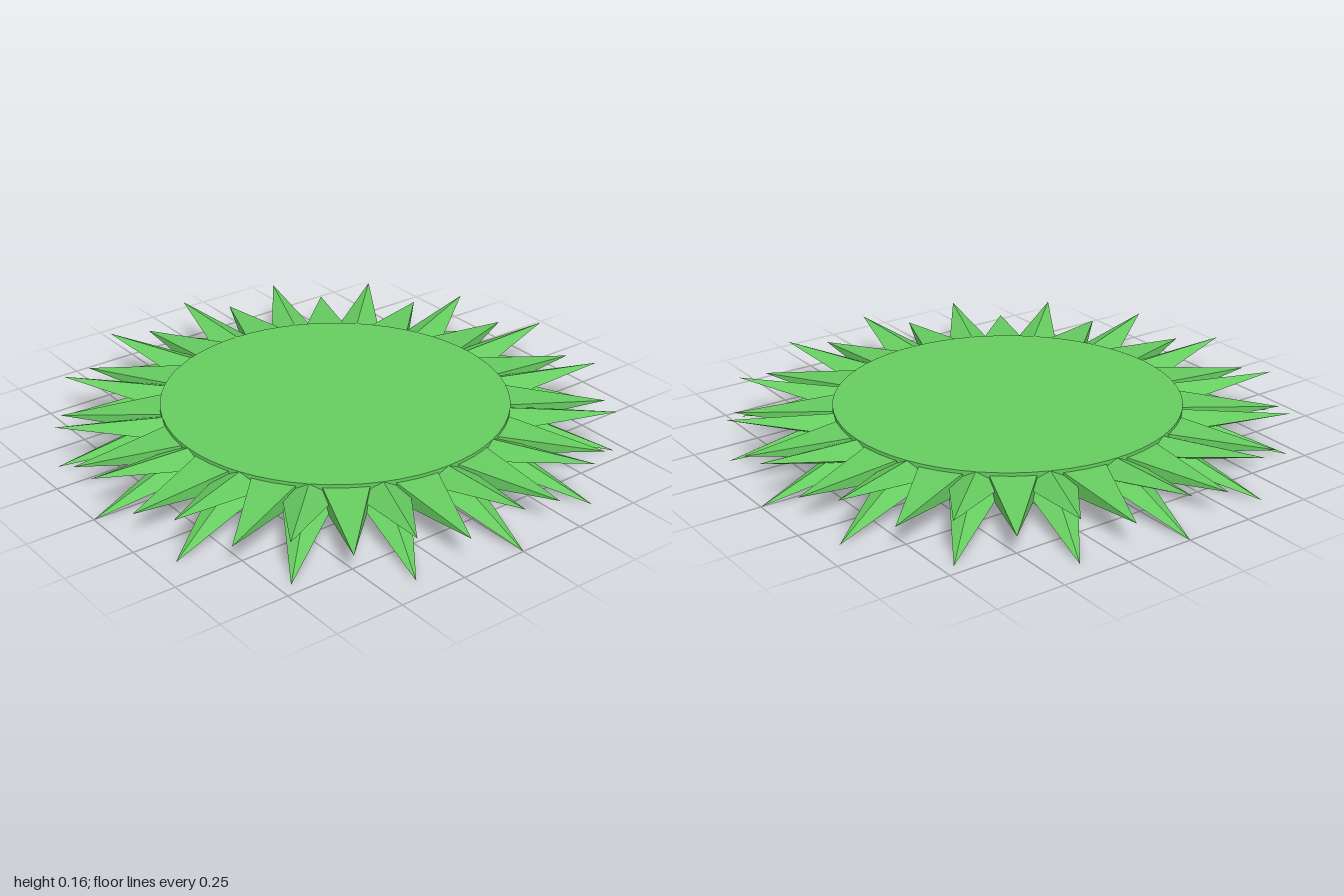
import * as THREE from 'three';

const COUNT = 16;      // spikes per ring
const DISC_R = 0.625;
const MID_Y = 0.1;     // centre height of the disc

// Four-sided spike along +z: base half-size w x h at z = r0, tip at (tipY, r1)
function spikeGeometry(w, h, r0, r1, tipY, flatTop) {
  const length = r1 - r0;
  const g = new THREE.ConeGeometry(1, length, 4, 1);
  if (flatTop) g.rotateY(Math.PI / 4).scale(Math.SQRT2, 1, Math.SQRT2);
  g.rotateX(Math.PI / 2).scale(w, h, 1).translate(0, MID_Y, r0 + length / 2);
  // shear so that the tip rises or drops
  const p = g.attributes.position;
  for (let i = 0; i < p.count; i++) {
    const t = (p.getZ(i) - r0) / length;
    p.setY(i, p.getY(i) + t * (tipY - MID_Y));
  }
  g.computeVertexNormals();
  return g;
}

export function createModel() {
  const model = new THREE.Group();
  model.name = 'spikedDisc';
  const color = 0x66cc60;
  const smooth = new THREE.MeshStandardMaterial({ color });
  const faceted = new THREE.MeshStandardMaterial({ color, flatShading: true });

  // Round central disc
  const disc = new THREE.Mesh(new THREE.CylinderGeometry(DISC_R, DISC_R, 0.092, 64), smooth);
  disc.name = 'disc';
  disc.position.y = MID_Y;
  model.add(disc);

  // Rings of spikes: raised, drooping, and level ones in the gaps
  const rings = [
    { name: 'upperSpike', offset: 0, geometry: spikeGeometry(0.095, 0.045, 0.61, 1, 0.156, false) },
    { name: 'lowerSpike', offset: 0, geometry: spikeGeometry(0.095, 0.045, 0.61, 1, 0, false) },
    { name: 'middleSpike', offset: 0.5, geometry: spikeGeometry(0.08, 0.035, 0.61, 0.98, MID_Y, true) },
  ];
  for (const { name, offset, geometry } of rings) {
    const ring = new THREE.Group();
    ring.name = name + 'Ring';
    for (let i = 0; i < COUNT; i++) {
      const spike = new THREE.Mesh(geometry, faceted);
      spike.name = name;
      spike.rotation.y = ((i + offset) / COUNT) * Math.PI * 2;
      ring.add(spike);
    }
    model.add(ring);
  }
  return model;
}
